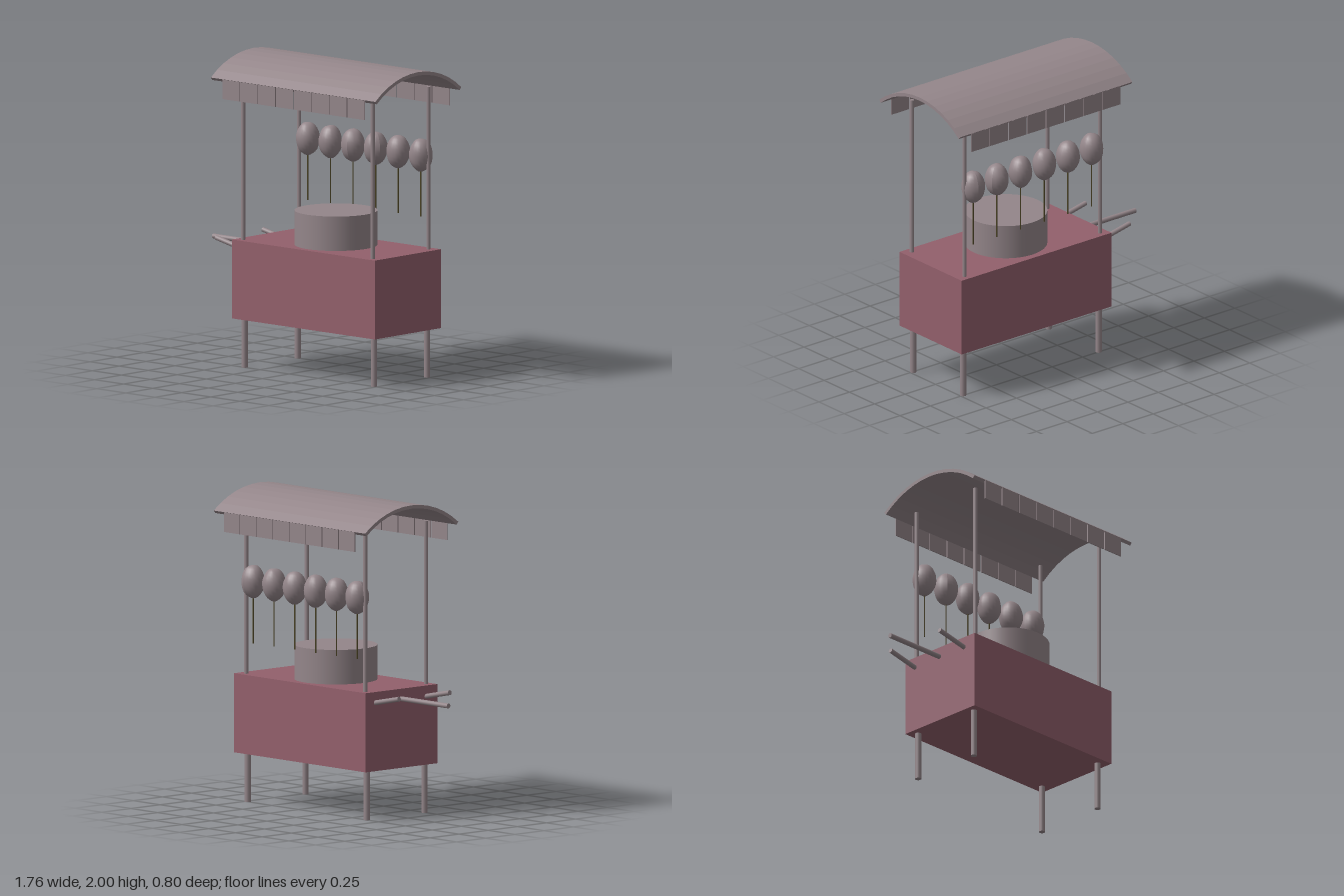
import * as THREE from 'three';

const material = (name, color) => {
  const m = new THREE.MeshStandardMaterial({ color });
  m.name = name;
  return m;
};

export function createModel() {
  const group = new THREE.Group();
  const grey = material('warm grey', 0x94868a);
  const red = material('dusty red', 0x93606c);
  const olive = material('dark olive', 0x4d4526);

  const add = (name, geometry, mat, x = 0, y = 0, z = 0) => {
    const mesh = new THREE.Mesh(geometry, mat);
    mesh.name = name;
    mesh.position.set(x, y, z);
    group.add(mesh);
    return mesh;
  };

  // Round bar between two points
  const bar = (name, a, b, r, mat, sides = 12) => {
    const from = new THREE.Vector3(...a), to = new THREE.Vector3(...b);
    const dir = to.clone().sub(from);
    const mesh = add(name, new THREE.CylinderGeometry(r, r, dir.length(), sides), mat);
    mesh.position.copy(from).add(to).multiplyScalar(0.5);
    mesh.quaternion.setFromUnitVectors(new THREE.Vector3(0, 1, 0), dir.normalize());
  };

  // Cart body and drum
  add('cartBody', new THREE.BoxGeometry(1.23, 0.505, 0.615), red, 0.175, 0.567, 0);
  add('drum', new THREE.CylinderGeometry(0.263, 0.263, 0.225, 40), grey, 0.173, 0.927, 0);

  // Legs and canopy posts
  for (const x of [-0.385, 0.728]) {
    for (const s of [-1, 1]) {
      bar('leg', [x, 0, s * 0.247], [x, 0.33, s * 0.247], 0.02, grey);
      const top = 1.86;
      bar('post', [x, 0.8, s * 0.26], [x, top, s * 0.26], 0.014, grey);
    }
  }

  // Handles on the right end
  bar('middleHandle', [-0.885, 0.756, -0.005], [-0.42, 0.756, -0.005], 0.016, grey);
  for (const z of [-0.222, 0.213]) {
    bar('sideHandle', [-0.66, 0.797, z], [-0.42, 0.747, z], 0.0155, grey);
  }

  // Arched roof: a thin circular arc extruded along x
  const R = 0.63, half = 0.4, steps = 12, thick = 0.022;
  const maxAngle = Math.asin(half / R);
  const arc = (r) => Array.from({ length: steps + 1 }, (_, i) => {
    const a = -maxAngle + (2 * maxAngle * i) / steps;
    return new THREE.Vector2(r * Math.sin(a), 2 - R + r * Math.cos(a));
  });
  const outline = new THREE.Shape([...arc(R), ...arc(R - thick).reverse()]);
  const roof = new THREE.ExtrudeGeometry(outline, { depth: 1.415, bevelEnabled: false });
  roof.rotateY(Math.PI / 2);
  add('roof', roof, grey, -0.535, 0, 0);

  // Hanging flaps along both eaves
  const pitch = 1.23 / 8;
  for (let i = 0; i < 8; i++) {
    for (const s of [-1, 1]) {
      add('flap', new THREE.BoxGeometry(pitch - 0.007, 0.125, 0.006), grey,
        -0.44 + pitch * (i + 0.5), 1.7925, s * 0.396);
    }
  }

  // Gently lumpy puffs on sticks
  const puff = new THREE.SphereGeometry(1, 20, 14);
  const p = puff.attributes.position;
  for (let i = 0; i < p.count; i++) {
    const x = p.getX(i), y = p.getY(i), z = p.getZ(i);
    const k = 1 + 0.025 * Math.sin(5 * x + 2 * y) * Math.cos(4 * z - 3 * y);
    p.setXYZ(i, x * k * 0.075, y * k * 0.106, z * k * 0.076);
  }
  puff.computeVertexNormals();
  for (let i = 0; i < 6; i++) {
    const x = -0.313 + i * 0.1945;
    add('puff', puff, grey, x, 1.415, -0.263).rotation.y = i * 0.9;
    bar('puffStick', [x, 1.02, -0.263], [x, 1.4, -0.263], 0.004, olive, 8);
  }

  return group;
}
